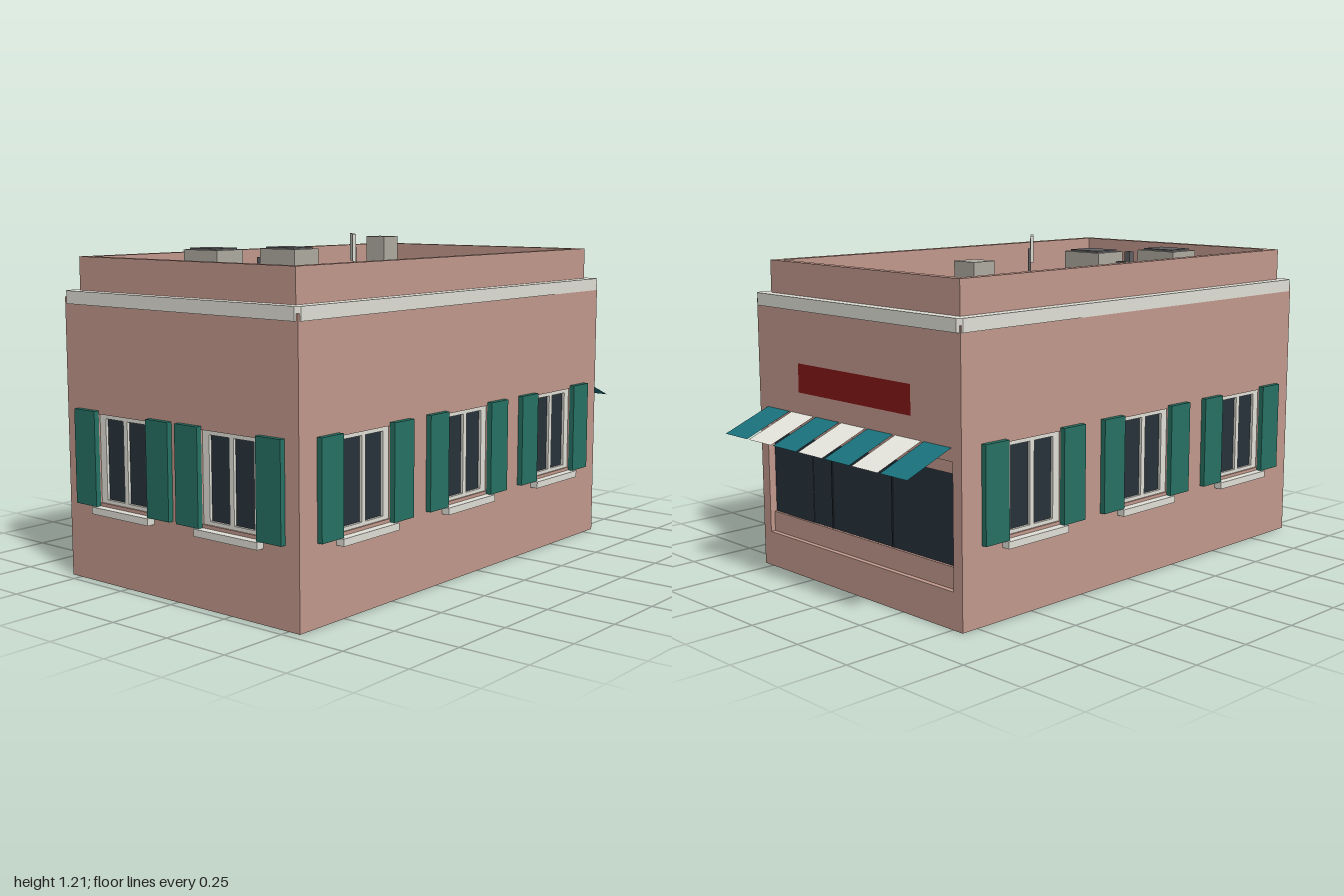
import * as THREE from 'three';

const mat = (name, color) => {
  const m = new THREE.MeshStandardMaterial({ color });
  m.name = name;
  return m;
};

export function createModel() {
  const wallPink = mat('wall pink', 0xc49a8e);
  const stone = mat('pale stone', 0xe2e1d8);
  const cream = mat('awning cream', 0xeae9e2);
  const teal = mat('awning teal', 0x1a737e);
  const green = mat('shutter green', 0x277264);
  const glass = mat('dark glass', 0x28323b);
  const roofGrey = mat('roof grey', 0xb0aca2);
  const dark = mat('dark metal', 0x616063);
  const red = mat('sign red', 0x861717);
  const brown = mat('floor brown', 0x86674e);
  cream.side = teal.side = THREE.DoubleSide;

  const model = new THREE.Group();
  model.name = 'shop building';

  const add = (parent, name, geo, material, x = 0, y = 0, z = 0) => {
    const m = new THREE.Mesh(geo, material);
    m.name = name;
    m.position.set(x, y, z);
    parent.add(m);
    return m;
  };
  // box given by its limits on each axis
  const box = (parent, name, material, x0, x1, y0, y1, z0, z1) =>
    add(parent, name, new THREE.BoxGeometry(x1 - x0, y1 - y0, z1 - z0), material,
      (x0 + x1) / 2, (y0 + y1) / 2, (z0 + z1) / 2);

  // rectangle outline with optional cut corners
  const rectPoints = (x0, x1, y0, y1, c = 0) => (c
    ? [[x0 + c, y0], [x1 - c, y0], [x1, y0 + c], [x1, y1 - c], [x1 - c, y1], [x0 + c, y1], [x0, y1 - c], [x0, y0 + c]]
    : [[x0, y0], [x1, y0], [x1, y1], [x0, y1]]).map(p => new THREE.Vector2(...p));
  // plate with rectangular holes, front face at z = 0
  const plate = (outer, holes, depth) => {
    const s = new THREE.Shape(outer);
    holes.forEach(h => s.holes.push(new THREE.Path(h.slice().reverse())));
    return new THREE.ExtrudeGeometry(s, { depth, bevelEnabled: false }).translate(0, 0, -depth);
  };

  const W = 0.547, FRONT = 0.965, BACK = -0.815, T = 0.04, H = 1.0;
  const MID = (FRONT + BACK) / 2;

  // facade: local x along the wall, z pointing outwards
  const facade = (name, halfWidth, holes, x, z, turn) => {
    const g = new THREE.Group();
    g.name = name;
    g.position.set(x, 0, z);
    g.rotation.y = turn;
    add(g, 'wall', plate(rectPoints(-halfWidth, halfWidth, 0, H), holes, T), wallPink);
    model.add(g);
    return g;
  };

  // shuttered window
  const frameHalf = 0.13;
  const addWindow = (parent, x) => {
    const g = new THREE.Group();
    g.name = 'window';
    g.position.x = x;
    const panes = [rectPoints(-0.1, -0.01, 0.3, 0.586), rectPoints(0.01, 0.1, 0.3, 0.586)];
    add(g, 'windowFrame', plate(rectPoints(-frameHalf, frameHalf, 0.287, 0.6), panes, 0.016), stone, 0, 0, -0.006);
    box(g, 'windowPanes', glass, -0.128, 0.128, 0.288, 0.598, -0.036, -0.016);
    box(g, 'sill', stone, -0.143, 0.143, 0.25, 0.275, -0.01, 0.03);
    for (const s of [-1, 1]) {
      const cx = s * (frameHalf + 0.053);
      box(g, 'shutter', green, cx - 0.053, cx + 0.053, 0.275, 0.612, 0, 0.02);
    }
    parent.add(g);
  };
  const windowedFacade = (name, halfWidth, centres, x, z, turn) => {
    const holes = centres.map(c => rectPoints(c - frameHalf, c + frameHalf, 0.287, 0.6));
    const g = facade(name, halfWidth, holes, x, z, turn);
    centres.forEach(c => addWindow(g, c));
  };
  const sideHalf = (FRONT - BACK) / 2 - T;
  windowedFacade('frontFacade', W, [-0.254, 0.252], 0, FRONT, 0);
  windowedFacade('leftFacade', sideHalf, [-0.57, -0.004, 0.567], W, MID, Math.PI / 2);
  windowedFacade('rightFacade', sideHalf, [-0.567, 0.004, 0.57], -W, MID, -Math.PI / 2);

  // shop front on the back
  const shop = facade('shopFacade', W, [rectPoints(-0.505, 0.505, 0.13, 0.56)], 0, BACK, Math.PI);
  box(shop, 'lowPanel', wallPink, -0.505, 0.505, 0.13, 0.205, -0.04, -0.018);
  box(shop, 'lintel', wallPink, -0.505, 0.505, 0.515, 0.56, -0.04, -0.018);
  box(shop, 'shopGlass', glass, -0.505, 0.505, 0.2, 0.52, -0.045, -0.028);
  for (const x of [-0.16, 0.17])
    box(shop, 'glazingBar', glass, x - 0.003, x + 0.003, 0.205, 0.515, -0.029, -0.025);
  box(shop, 'doorPanel', glass, -0.43, -0.27, 0.205, 0.49, -0.029, -0.026);
  add(shop, 'signBoard', new THREE.PlaneGeometry(0.61, 0.105), red, 0, 0.7345, 0.002);

  // striped awning of sloping flat strips
  const drop = 0.075, reach = 0.185;
  for (let i = 0; i < 7; i++) {
    const strip = new THREE.PlaneGeometry(0.133, Math.hypot(drop, reach));
    strip.rotateX(-Math.atan2(reach, drop));
    add(shop, 'awningStrip', strip, i % 2 ? cream : teal, (i - 3) * 0.1445, 0.568, reach / 2);
  }

  // cornice, parapet and roof; plan shapes are laid flat
  const ring = (name, material, outer, inner, y0, y1) =>
    add(model, name, plate(outer, [inner], y1 - y0).rotateX(-Math.PI / 2), material, 0, y1, 0);
  const parapetPlan = rectPoints(-0.507, 0.507, -0.93, 0.78);
  ring('cornice', stone, rectPoints(-0.55, 0.55, -0.969, 0.822, 0.015), parapetPlan, 0.976, 1.022);
  ring('parapet', wallPink, parapetPlan, rectPoints(-0.475, 0.475, -0.897, 0.747), 0.99, 1.14);
  box(model, 'roof', roofGrey, -0.49, 0.49, 0.985, 1.01, -0.765, 0.915);

  // rooftop equipment
  box(model, 'chimney', roofGrey, -0.412, -0.317, 1.01, 1.176, -0.63, -0.537);
  for (const [x, z] of [[-0.17, 0.214], [-0.327, 0.454]]) {
    box(model, 'coolingUnit', roofGrey, x - 0.086, x + 0.086, 1.01, 1.154, z - 0.067, z + 0.067);
    box(model, 'coolingGrille', dark, x - 0.068, x + 0.068, 1.154, 1.16, z - 0.053, z + 0.053);
  }
  for (const [x, z] of [[0.012, 0.632], [-0.367, 0.352], [-0.283, 0.242]])
    box(model, 'ventPipe', dark, x - 0.013, x + 0.013, 1.01, 1.12, z - 0.013, z + 0.013);
  add(model, 'aerialPost', new THREE.CylinderGeometry(0.006, 0.006, 0.15, 8), dark, 0.035, 1.085, 0.077);
  const panel = add(model, 'aerialPanel', new THREE.BoxGeometry(0.1, 0.1, 0.012), stone, 0.036, 1.16, 0.091);
  panel.rotation.y = -Math.PI / 4;

  // raised floor, seen from underneath
  box(model, 'floor', brown, -W + T, W - T, 0.13, 0.145, BACK + T, FRONT - T);
  box(model, 'counterBase', brown, -0.32, 0.35, 0.122, 0.135, 0.69, 0.78);
  for (const x of [-0.26, 0.065]) for (const z of [-0.555, -0.2])
    add(model, 'tableFoot', new THREE.CylinderGeometry(0.015, 0.015, 0.02, 10), dark, x, 0.13, z);

  return model;
}
